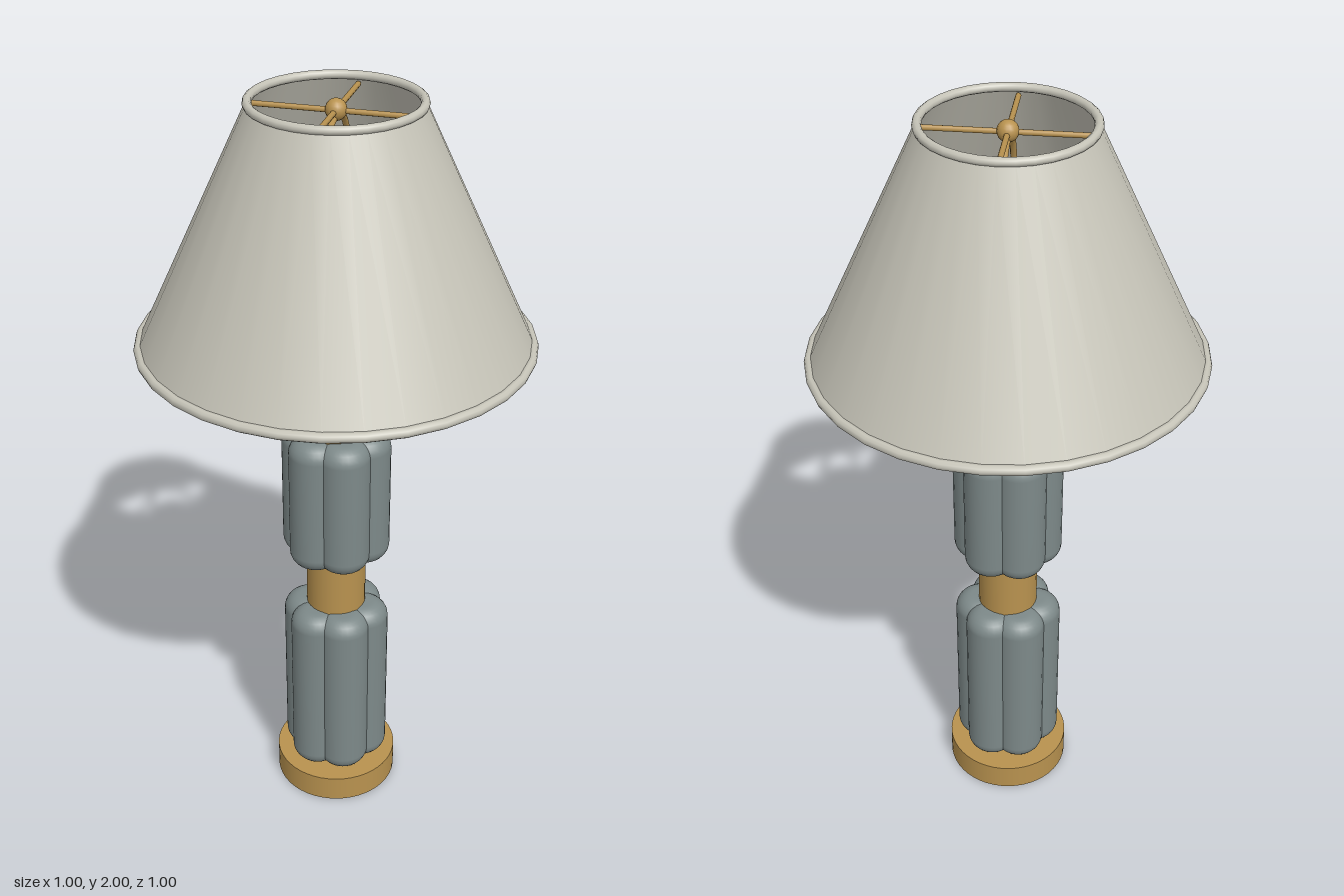
import * as THREE from 'three';

const mat = (name, color, side = THREE.FrontSide) => {
  const m = new THREE.MeshStandardMaterial({ color, side });
  m.name = name;
  return m;
};

export function createModel() {
  const lamp = new THREE.Group();
  lamp.name = 'tableLamp';
  const brass = mat('brass', 0xb8924f);
  const ceramic = mat('greyCeramic', 0x7d8989);
  const linen = mat('linen', 0xc6c4b8, THREE.DoubleSide);
  const glass = mat('bulbGlass', 0xd2cfc6);

  const add = (name, geometry, material, parent = lamp) => {
    const mesh = new THREE.Mesh(geometry, material);
    mesh.name = name;
    parent.add(mesh);
    return mesh;
  };
  const cylinder = (name, r, y0, y1, seg = 32) => {
    const mesh = add(name, new THREE.CylinderGeometry(r, r, y1 - y0, seg), brass);
    mesh.position.y = (y0 + y1) / 2;
    return mesh;
  };
  const lathe = (points, seg) =>
    new THREE.LatheGeometry(points.map(([x, y]) => new THREE.Vector2(x, y)), seg);

  // Brass base, collars and stem
  cylinder('base', 0.168, 0, 0.075, 48);
  cylinder('lowerCore', 0.08, 0.07, 0.6);
  cylinder('middleCollar', 0.08, 0.58, 0.77);
  cylinder('upperCollar', 0.085, 1.1, 1.325);
  cylinder('stem', 0.034, 1.32, 1.4, 20);

  // Fluted ceramic bodies: six rounded columns merged in a ring
  const flutedBody = (name, y0, y1) => {
    const group = new THREE.Group();
    group.name = name;
    lamp.add(group);
    const a = 0.07, f = 0.045, steps = 6;
    const pts = [[0, y0]];
    for (let i = 0; i <= steps; i++) {
      const t = (i / steps) * Math.PI / 2;
      pts.push([a - f + f * Math.sin(t), y0 + f - f * Math.cos(t)]);
    }
    for (let i = 0; i <= steps; i++) {
      const t = (i / steps) * Math.PI / 2;
      pts.push([a - f + f * Math.cos(t), y1 - f + f * Math.sin(t)]);
    }
    pts.push([0, y1]);
    const geometry = lathe(pts, 28);
    for (let i = 0; i < 6; i++) {
      const angle = (i * Math.PI) / 3;
      const lobe = add('lobe', geometry, ceramic, group);
      lobe.position.set(0.075 * Math.cos(angle), 0, 0.075 * Math.sin(angle));
    }
  };
  flutedBody('lowerBody', 0.075, 0.595);
  flutedBody('upperBody', 0.75, 1.135);

  // Socket and bulb
  add('socket', lathe([[0, 1.37], [0.034, 1.37], [0.05, 1.4], [0.05, 1.4], [0.05, 1.53],
    [0.05, 1.53], [0, 1.53]], 20), brass);
  add('bulb', lathe([[0.04, 1.53], [0.05, 1.55], [0.078, 1.59], [0.097, 1.64], [0.102, 1.68],
    [0.092, 1.73], [0.065, 1.768], [0.033, 1.785], [0, 1.79]], 16), glass);

  // Harp: a wire hoop in the z plane from the socket to the finial
  const harpPath = [[0.04, 1.43], [0.1, 1.435], [0.112, 1.48], [0.135, 1.6], [0.14, 1.7],
    [0.12, 1.84], [0.07, 1.93], [0, 1.955]];
  const hoop = [...harpPath.map(([z, y]) => new THREE.Vector3(0, y, z)),
    ...harpPath.slice(0, -1).reverse().map(([z, y]) => new THREE.Vector3(0, y, -z))];
  add('harp', new THREE.TubeGeometry(new THREE.CatmullRomCurve3(hoop), 72, 0.008, 8), brass);

  // Spider rods and finial
  for (const turn of [0, Math.PI / 2]) {
    const rod = add('spiderRod', new THREE.CylinderGeometry(0.007, 0.007, 0.41, 8), brass);
    rod.rotation.set(Math.PI / 2, 0, turn, 'ZXY');
    if (turn) rod.rotation.set(0, 0, Math.PI / 2);
    rod.position.y = 1.968;
  }
  add('finial', new THREE.SphereGeometry(0.026, 16, 12), brass).position.y = 1.97;

  // Tapered open shade with rolled rims
  add('shade', lathe([[0.488, 1.39], [0.206, 1.99]], 32), linen);
  const rim = (name, r, y, tube) => {
    const mesh = add(name, new THREE.TorusGeometry(r, tube, 10, 32), linen);
    mesh.rotation.x = Math.PI / 2;
    mesh.position.y = y;
  };
  rim('bottomRim', 0.487, 1.388, 0.013);
  rim('topRim', 0.204, 1.989, 0.011);

  return lamp;
}
